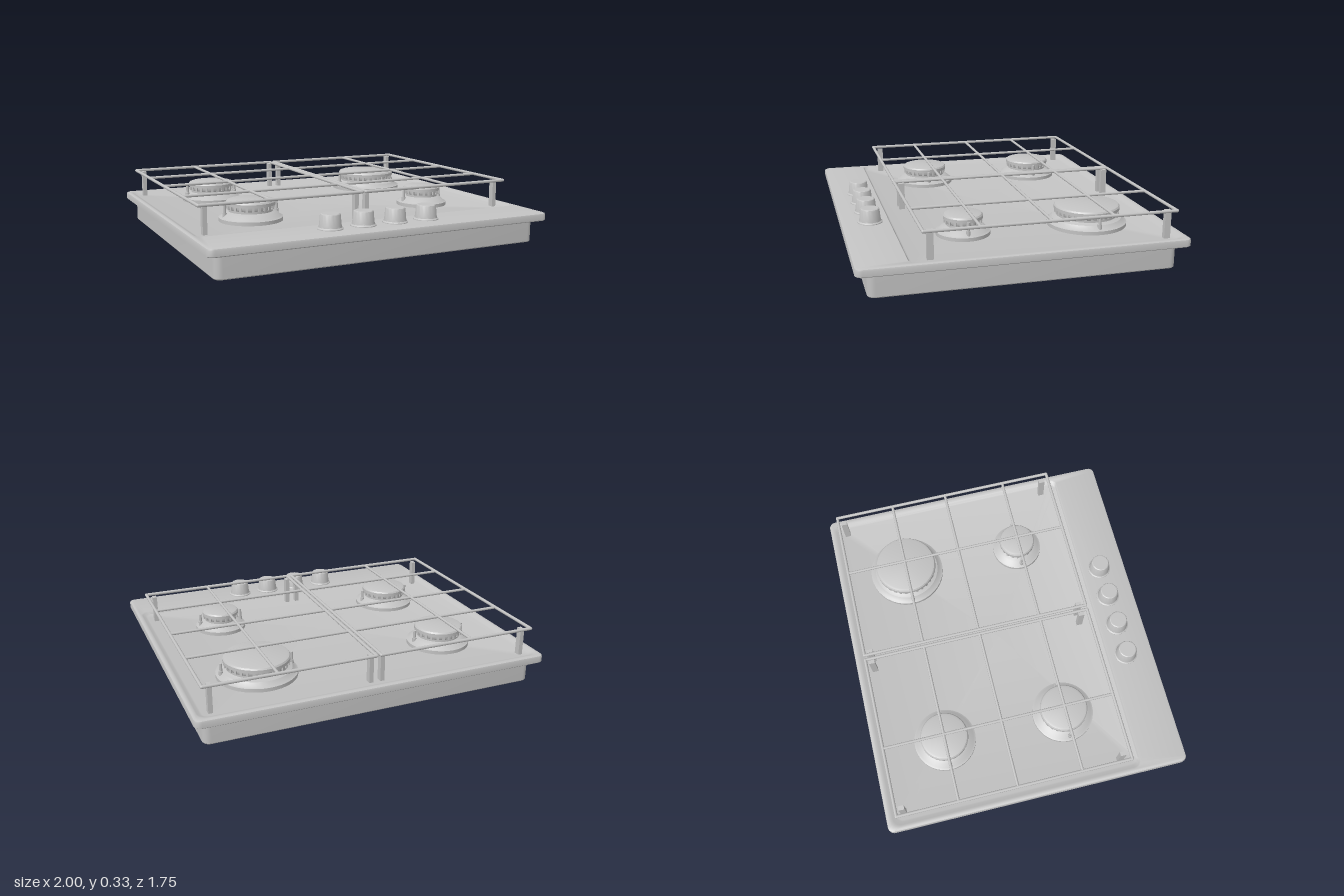
import * as THREE from 'three';
import { toCreasedNormals } from 'three/addons/utils/BufferGeometryUtils.js';

const grey = new THREE.MeshStandardMaterial({ color: 0xc2c2c2 });
grey.name = 'satin grey metal';

function add(parent, name, geometry, x = 0, y = 0, z = 0) {
  const mesh = new THREE.Mesh(geometry, grey);
  mesh.name = name;
  mesh.position.set(x, y, z);
  parent.add(mesh);
  return mesh;
}

// Rounded rectangle ring at height y; zero size gives a single point
function ring(y, hx, z0, z1, r) {
  const pts = [], steps = 6;
  const corners = [[hx - r, z1 - r], [-hx + r, z1 - r], [-hx + r, z0 + r], [hx - r, z0 + r]];
  corners.forEach(([cx, cz], c) => {
    for (let i = 0; i <= steps; i++) {
      const a = (c + i / steps) * Math.PI / 2;
      pts.push(new THREE.Vector3(cx + r * Math.cos(a), y, cz + r * Math.sin(a)));
    }
  });
  return pts;
}

// Skin through a series of rings, dropping zero-area triangles
function loft(rings) {
  const pos = [];
  const tri = (a, b, c) => {
    if (new THREE.Triangle(a, b, c).getArea() < 1e-9) return;
    for (const p of [a, b, c]) pos.push(p.x, p.y, p.z);
  };
  for (let k = 0; k < rings.length - 1; k++) {
    const n = rings[k].length;
    for (let i = 0; i < n; i++) {
      const j = (i + 1) % n;
      const a = rings[k][i], b = rings[k][j], c = rings[k + 1][i], d = rings[k + 1][j];
      tri(a, c, b);
      tri(b, c, d);
    }
  }
  const g = new THREE.BufferGeometry();
  g.setAttribute('position', new THREE.Float32BufferAttribute(pos, 3));
  return toCreasedNormals(g, 0.6);
}

function lathe(points, sides = 40) {
  const g = new THREE.LatheGeometry(points.map(([r, y]) => new THREE.Vector2(r, y)), sides);
  return toCreasedNormals(g, 0.5);
}

// Burner: flared skirt, slotted crown, cap and two side pins
function addBurner(parent, name, x, z, R, capR, pinX) {
  const burner = new THREE.Group();
  burner.name = name;
  burner.position.set(x, 0, z);
  parent.add(burner);
  add(burner, 'skirt', lathe([
    [R, 0.16], [R, 0.183], [R - 0.012, 0.188], [capR + 0.012, 0.207], [capR - 0.004, 0.212],
    [capR - 0.012, 0.216], [capR - 0.012, 0.228]]));
  add(burner, 'crown', lathe([
    [capR - 0.02, 0.22], [capR - 0.012, 0.228], [capR - 0.008, 0.24], [capR - 0.008, 0.256]]));
  add(burner, 'cap', lathe([
    [capR - 0.008, 0.25], [capR + 0.002, 0.251], [capR + 0.002, 0.268], [capR - 0.004, 0.276],
    [capR - 0.016, 0.28], [0, 0.28]]));
  const teeth = Math.round(capR * 180);
  const tooth = new THREE.BoxGeometry(0.01, 0.022, 0.014);
  for (let i = 0; i < teeth; i++) {
    const a = i / teeth * Math.PI * 2;
    const m = add(burner, 'crownTooth', tooth,
      Math.cos(a) * (capR - 0.006), 0.241, Math.sin(a) * (capR - 0.006));
    m.rotation.y = -a;
  }
  for (const s of [-1, 1]) {
    add(burner, 'pin', new THREE.CylinderGeometry(0.008, 0.008, 0.075, 10), s * pinX, 0.222, 0);
    add(burner, 'pinCollar', new THREE.CylinderGeometry(0.012, 0.012, 0.03, 10), s * pinX, 0.2, 0);
  }
}

// Straight round bar between two points on the grate plane
function addBar(parent, name, x0, z0, x1, z1, r = 0.009) {
  const y = 0.322;
  const len = Math.hypot(x1 - x0, z1 - z0);
  const m = add(parent, name, new THREE.CylinderGeometry(r, r, len, 10), (x0 + x1) / 2, y, (z0 + z1) / 2);
  if (x0 === x1) m.rotation.x = Math.PI / 2;
  else m.rotation.z = Math.PI / 2;
}

function addGrate(parent, name, side) {
  const grate = new THREE.Group();
  grate.name = name;
  parent.add(grate);
  const xi = side * 0.014, xo = side * 0.938, back = -0.803, front = 0.537;
  for (const x of [xi, xo]) {
    addBar(grate, 'frameSide', x, back, x, front);
    for (const z of [back, front]) {
      add(grate, 'frameCorner', new THREE.SphereGeometry(0.009, 10, 8), x, 0.322, z);
    }
  }
  for (const z of [back, front]) addBar(grate, 'frameEnd', xi, z, xo, z);
  for (const z of [-0.455, -0.12, 0.25]) addBar(grate, 'crossBar', xi, z, xo, z, 0.008);
  addBar(grate, 'longBar', side * 0.552, back, side * 0.552, front, 0.008);
  // Legs stand just inside each corner
  for (const x of [0.032, 0.897]) {
    for (const z of [-0.77, 0.497]) {
      add(grate, 'leg', new THREE.BoxGeometry(0.024, 0.158, 0.034), side * x, 0.239, z);
    }
  }
}

export function createModel() {
  const model = new THREE.Group();
  model.name = 'gasHob';

  // Lower casing with small feet
  add(model, 'casing', loft([
    ring(0.006, 0, 0, 0, 0),
    ring(0.006, 0.943, -0.81, 0.81, 0.035),
    ring(0.012, 0.948, -0.815, 0.815, 0.04),
    ring(0.14, 0.948, -0.815, 0.815, 0.04)]));
  for (const x of [-0.9, 0.9]) {
    for (const z of [-0.745, 0.745]) {
      add(model, 'foot', new THREE.CylinderGeometry(0.012, 0.012, 0.01, 12), x, 0.005, z);
    }
  }

  // Top plate: rounded rim dropping into a shallow tray
  add(model, 'topPlate', loft([
    ring(0.135, 0.93, -0.8, 0.8, 0.03),
    ring(0.135, 0.992, -0.869, 0.869, 0.03),
    ring(0.14, 0.998, -0.875, 0.875, 0.035),
    ring(0.168, 0.998, -0.875, 0.875, 0.035),
    ring(0.176, 0.995, -0.872, 0.872, 0.032),
    ring(0.18, 0.986, -0.863, 0.863, 0.025),
    ring(0.18, 0.975, -0.85, 0.612, 0.05),
    ring(0.176, 0.966, -0.838, 0.608, 0.045),
    ring(0.166, 0.95, -0.82, 0.602, 0.04),
    ring(0.163, 0.94, -0.81, 0.594, 0.035),
    ring(0.163, 0, 0, 0, 0)]));

  addBurner(model, 'backRightBurner', -0.552, -0.455, 0.178, 0.135, 0.152);
  addBurner(model, 'frontRightBurner', -0.552, 0.25, 0.178, 0.135, 0.152);
  addBurner(model, 'backLeftBurner', 0.552, -0.455, 0.222, 0.18, 0.198);
  addBurner(model, 'frontLeftBurner', 0.552, 0.25, 0.148, 0.105, 0.124);

  addGrate(model, 'rightGrate', -1);
  addGrate(model, 'leftGrate', 1);

  // Control knobs
  const knob = lathe([
    [0.069, 0.178], [0.069, 0.184], [0.062, 0.19], [0.059, 0.2], [0.054, 0.252],
    [0.051, 0.258], [0.046, 0.261], [0, 0.261]], 32);
  for (const x of [-0.293, -0.1, 0.093, 0.286]) add(model, 'knob', knob, x, 0, 0.715);

  return model;
}
